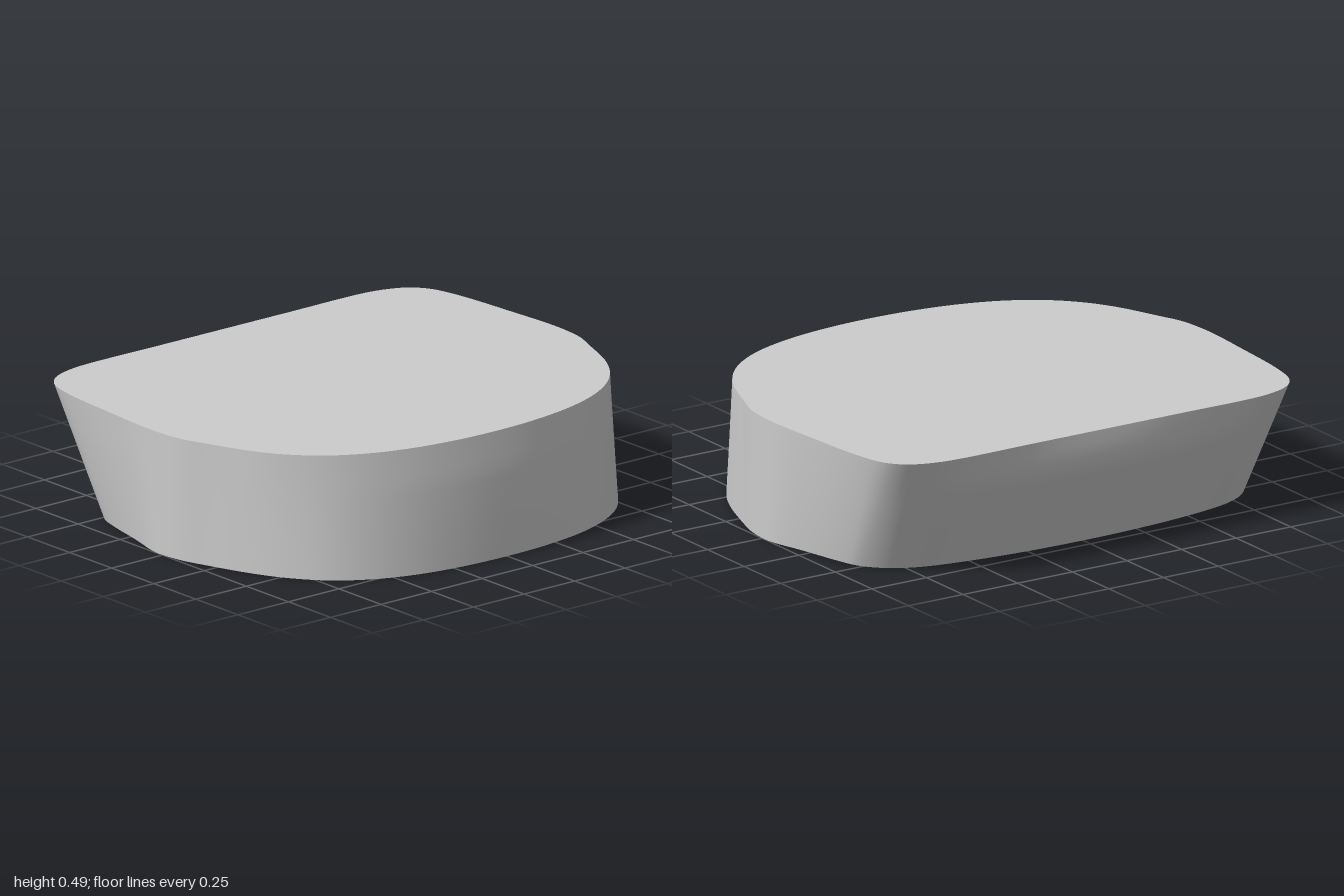
import * as THREE from 'three';

const HEIGHT = 0.485;
// Half outlines [x, z] from the rounded side round to the flat side; point i of one matches point i of the other.
const TOP = [
  [0.785, 0], [0.775, 0.2], [0.74, 0.4], [0.68, 0.57], [0.6, 0.7], [0.5, 0.8], [0.38, 0.876],
  [0.2, 0.948], [0.1, 0.985], [0, 0.998], [-0.1, 1], [-0.3, 0.987], [-0.6, 0.96],
  [-0.73, 0.925], [-0.795, 0.865], [-0.83, 0.78], [-0.845, 0.68], [-0.845, 0.34], [-0.845, 0],
];
const BOTTOM = [
  [0.85, 0], [0.84, 0.21], [0.805, 0.41], [0.74, 0.58], [0.65, 0.71], [0.53, 0.81], [0.4, 0.88],
  [0.2, 0.954], [0.1, 0.985], [0, 0.998], [-0.06, 0.995], [-0.2, 0.958], [-0.4, 0.912],
  [-0.48, 0.885], [-0.56, 0.82], [-0.61, 0.74], [-0.645, 0.63], [-0.685, 0.35], [-0.7, 0],
];
const SEGMENTS = 144;

// Mirror a half outline across z = 0 into a smooth closed loop.
function outline(half) {
  const full = [...half, ...half.slice(1, -1).reverse().map(([x, z]) => [x, -z])];
  const curve = new THREE.CatmullRomCurve3(
    full.map(([x, z]) => new THREE.Vector3(x, 0, z)), true, 'centripetal');
  return Array.from({ length: SEGMENTS }, (_, i) => curve.getPoint(i / SEGMENTS));
}

// Blend the outlines at height y; the flat side swells a little towards its upper third.
function section(bottom, top, y, flatSwell, roundSwell) {
  return bottom.map((b, i) => {
    const p = b.clone().lerp(top[i], y / HEIGHT);
    const fade = Math.max(0, 1 - (p.z / 0.8) ** 2);
    if (p.x < -0.55) p.x -= flatSwell * fade;
    if (p.x > 0.5) p.x += roundSwell * fade;
    p.y = y;
    return p;
  });
}

function wallGeometry(rings) {
  const positions = [], index = [];
  for (const ring of rings) for (const p of ring) positions.push(p.x, p.y, p.z);
  for (let r = 0; r < rings.length - 1; r++) {
    for (let i = 0; i < SEGMENTS; i++) {
      const j = (i + 1) % SEGMENTS;
      const a = r * SEGMENTS + i, b = r * SEGMENTS + j;
      index.push(a, a + SEGMENTS, b, b, a + SEGMENTS, b + SEGMENTS);
    }
  }
  const geometry = new THREE.BufferGeometry();
  geometry.setAttribute('position', new THREE.Float32BufferAttribute(positions, 3));
  geometry.setIndex(index);
  geometry.computeVertexNormals();
  return geometry;
}

// Flat cap filling one ring, facing up or down.
function capGeometry(ring, up) {
  const side = up ? 1 : -1;
  const shape = new THREE.Shape(ring.map((p) => new THREE.Vector2(p.x, -side * p.z)));
  return new THREE.ShapeGeometry(shape).rotateX(-side * Math.PI / 2).translate(0, ring[0].y, 0);
}

export function createModel() {
  const group = new THREE.Group();
  group.name = 'slantedBlock';
  const material = new THREE.MeshStandardMaterial({ color: 0xcccccc });
  const add = (name, geometry) => {
    const mesh = new THREE.Mesh(geometry, material);
    mesh.name = name;
    group.add(mesh);
  };

  const bottom = outline(BOTTOM), top = outline(TOP);
  // Each level: height, swell of the flat side, swell of the round side
  const levels = [[0, 0, 0], [0.16, 0.022, 0.007], [0.31, 0.046, 0.01], [0.35, 0.047, 0.009],
    [0.39, 0.039, 0.007], [0.44, 0.02, 0.003], [HEIGHT, 0, 0]];
  const rings = levels.map(([y, flat, round]) => section(bottom, top, y, flat, round));

  add('sideWall', wallGeometry(rings));
  add('topFace', capGeometry(rings[rings.length - 1], true));
  add('bottomFace', capGeometry(rings[0], false));
  return group;
}
